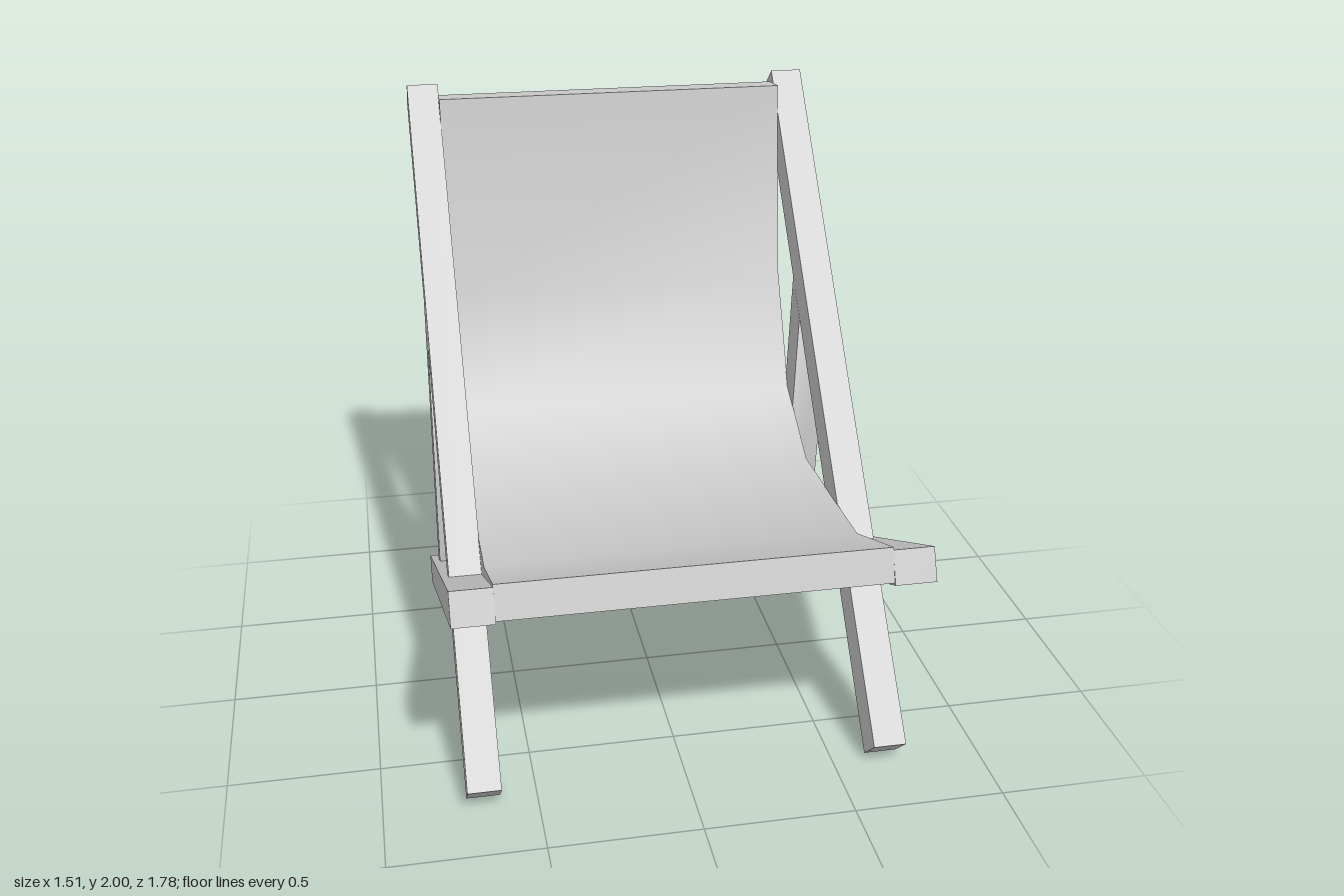
import * as THREE from 'three';
import { toCreasedNormals } from 'three/addons/utils/BufferGeometryUtils.js';

const material = new THREE.MeshStandardMaterial({ color: 0xcccccc });

// Side outline given as [z, y] points, extruded across x from x0 to x1
function sidePrism(name, outline, x0, x1) {
  const shape = new THREE.Shape(outline.map(([z, y]) => new THREE.Vector2(z, y)));
  const geometry = new THREE.ExtrudeGeometry(shape, { depth: x1 - x0, bevelEnabled: false });
  geometry.rotateY(-Math.PI / 2).translate(x1, 0, 0);
  const mesh = new THREE.Mesh(toCreasedNormals(geometry, 0.8), material);
  mesh.name = name;
  return mesh;
}

export function createModel() {
  const group = new THREE.Group();
  group.name = 'slingChair';

  // Frame bars: outline, inner x and outer x, mirrored to both sides
  const bars = [
    ['backRail', [[0.71, 0], [0.805, 0.09], [-0.8, 2], [-0.89, 1.925]], 0.62, 0.73],
    ['seatRail', [[0.89, 0.76], [0.845, 0.862], [-0.755, 0.095], [-0.705, 0]], 0.62, 0.755],
    ['strut', [[-0.395, 0.267], [-0.515, 0.21], [-0.395, 1.33], [-0.29, 1.2]], 0.62, 0.73],
  ];
  for (const [name, outline, inner, outer] of bars) {
    group.add(sidePrism(name + 'Left', outline, inner, outer));
    group.add(sidePrism(name + 'Right', outline, -outer, -inner));
  }

  // Thick sling: upper surface front to back, then the underside back to front
  const upper = [[0.845, 0.872], [0.49, 0.73], [-0.13, 0.71], [-0.415, 0.88], [-0.61, 1.27], [-0.705, 1.965]];
  const under = [[-0.82, 1.955], [-0.72, 1.235], [-0.5, 0.8], [-0.16, 0.6], [0.47, 0.615], [0.882, 0.765]];
  group.add(sidePrism('sling', [...upper, ...under], -0.622, 0.622));

  return group;
}
